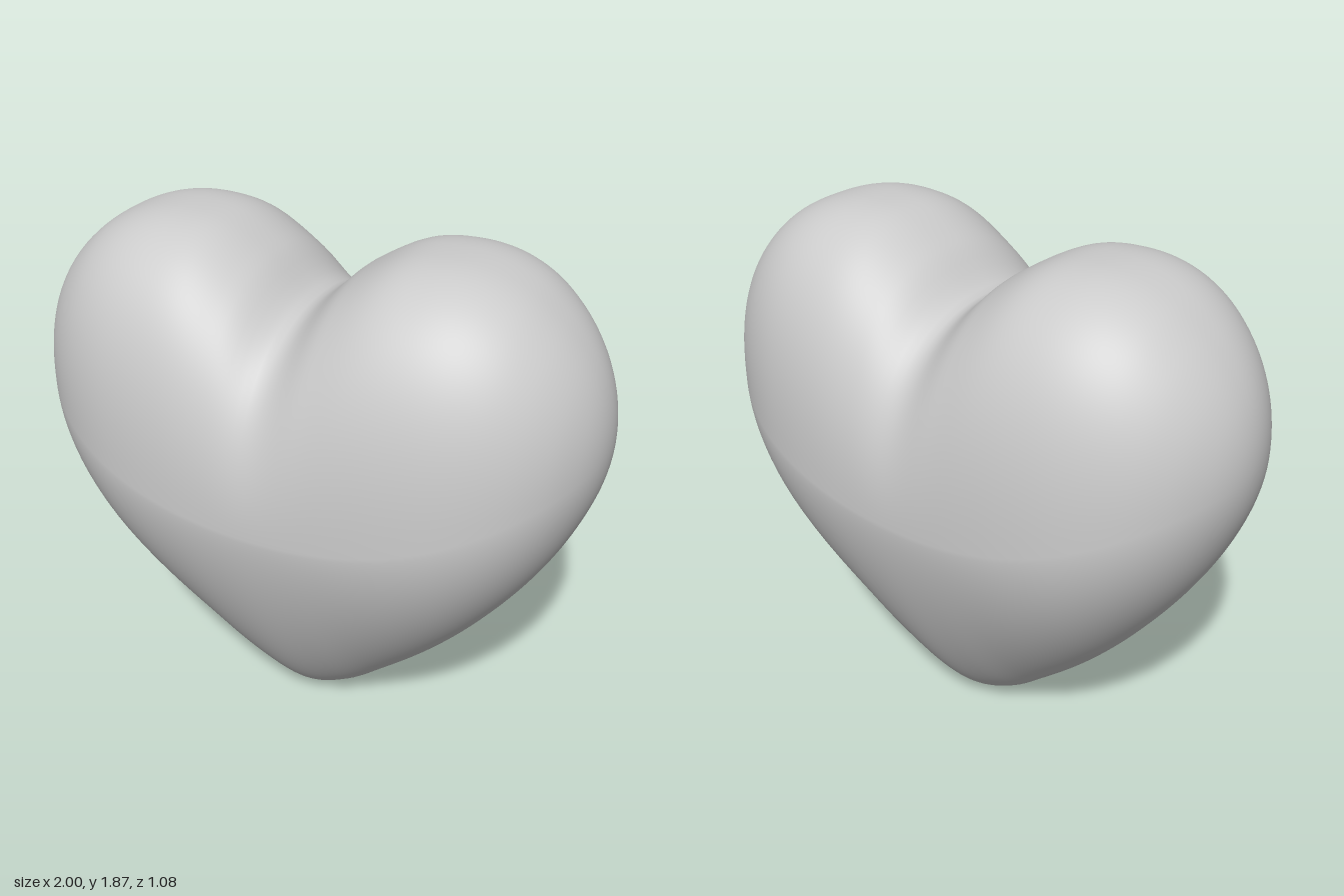
import * as THREE from 'three';
import { mergeVertices } from 'three/addons/utils/BufferGeometryUtils.js';

// Outline stations at x = sin(k * 9 degrees), from the middle out to the side
const TOP = [1.635, 1.758, 1.845, 1.867, 1.855, 1.81, 1.735, 1.645, 1.545, 1.435, 1.32];
const BOTTOM = [0, 0.065, 0.195, 0.335, 0.485, 0.64, 0.79, 0.935, 1.075, 1.2, 1.32];
const DEPTH = [0.54, 0.539, 0.534, 0.52, 0.492, 0.445, 0.38, 0.297, 0.2, 0.1, 0];

// Smooth interpolation of a station list, mirrored at the middle
function sample(list, k) {
  const last = list.length - 1;
  const at = (i) => (i > last ? 2 * list[last] - list[last - 1] : list[Math.abs(i)]);
  const i = Math.min(Math.floor(k), last - 1);
  const s = k - i;
  const m0 = (at(i + 1) - at(i - 1)) / 2;
  const m1 = (at(i + 2) - at(i)) / 2;
  const s2 = s * s, s3 = s2 * s;
  return at(i) * (2 * s3 - 3 * s2 + 1) + m0 * (s3 - 2 * s2 + s)
    + at(i + 1) * (3 * s2 - 2 * s3) + m1 * (s3 - s2);
}

const signedPower = (v, e) => Math.sign(v) * Math.abs(v) ** e;

// Upright superellipse sections, swept from the right side to the left side
function heartGeometry(slices = 120, around = 128) {
  const positions = [];
  const indices = [];
  for (let i = 0; i <= slices; i++) {
    const u = (2 * i) / slices - 1;
    const x = Math.sin((u * Math.PI) / 2);
    const k = Math.abs(u) * 10;
    const top = sample(TOP, k);
    const bottom = sample(BOTTOM, k);
    const depth = sample(DEPTH, k);
    const x2 = x * x;
    const belly = 1 + 0.32 * x2; // height of the greatest depth
    // Roundness: full lobes on top, tapering to a narrow lower tip
    const upper = 0.77 + 0.11 * (1 - x2) ** 12 + 0.23 * x2 ** 3;
    const lower = 1 + 0.38 * (1 - x2) ** 2;
    for (let j = 0; j < around; j++) {
      const a = (j / around) * Math.PI * 2;
      const s = Math.sin(a), c = Math.cos(a);
      const power = s > 0 ? upper : lower;
      const height = s > 0 ? top - belly : belly - bottom;
      positions.push(x, belly + height * signedPower(s, power), depth * signedPower(c, power));
      if (i < slices) {
        const p = i * around + j;
        const q = i * around + ((j + 1) % around);
        indices.push(p, p + around, q, q, p + around, q + around);
      }
    }
  }
  let geometry = new THREE.BufferGeometry();
  geometry.setAttribute('position', new THREE.Float32BufferAttribute(positions, 3));
  geometry.setIndex(indices);
  geometry = mergeVertices(geometry, 1e-5); // closes the side poles
  geometry.computeVertexNormals();
  return geometry;
}

export function createModel() {
  const group = new THREE.Group();
  group.name = 'heart';
  const body = new THREE.Mesh(
    heartGeometry(),
    new THREE.MeshStandardMaterial({ color: 0xcccccc }),
  );
  body.name = 'heartBody';
  group.add(body);
  return group;
}
